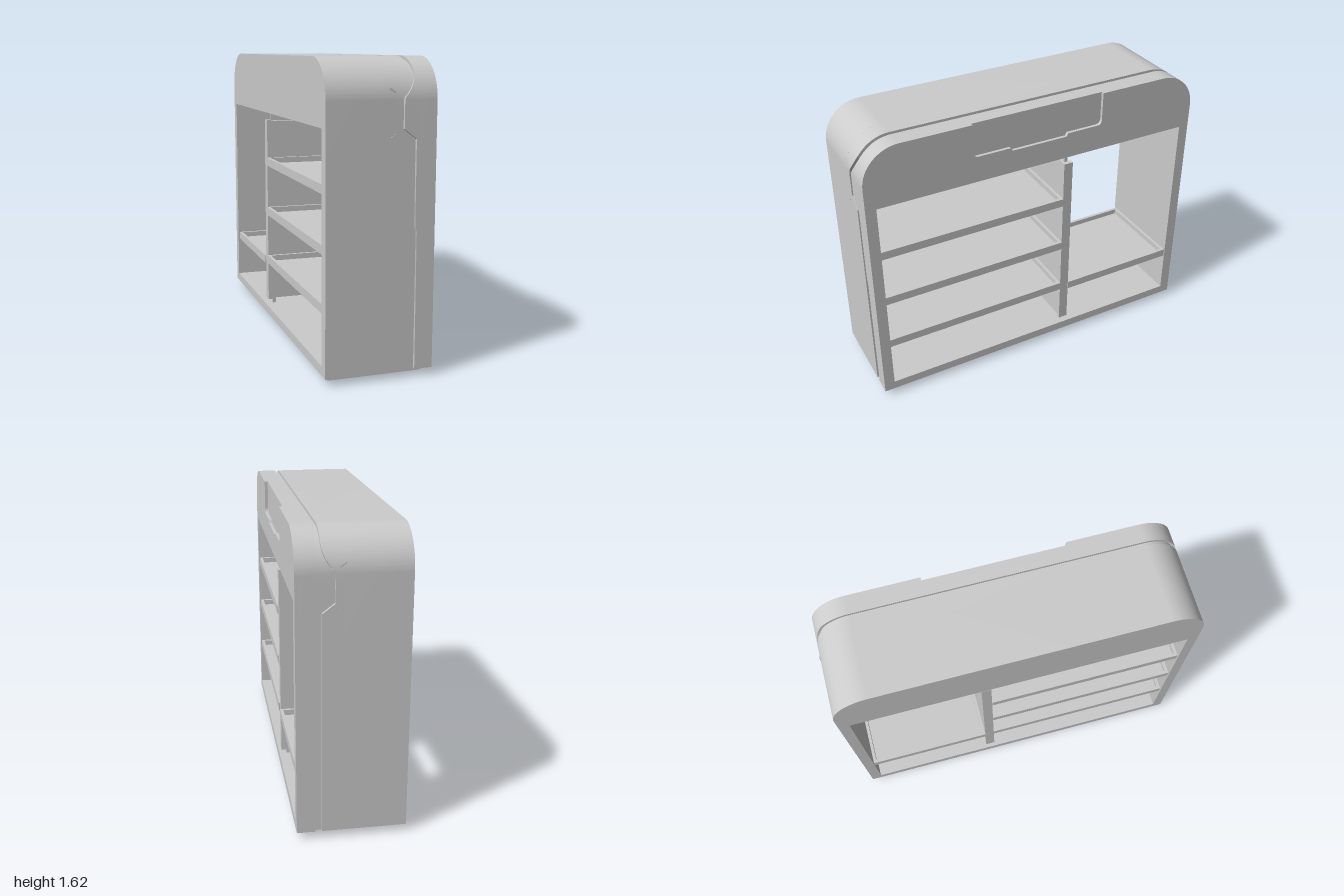
import * as THREE from 'three';
import { toCreasedNormals } from 'three/addons/utils/BufferGeometryUtils.js';

const mat = new THREE.MeshStandardMaterial({ color: 0xcccccc });
const GROOVE = 0.015, BOTTOM = 0.04, TOP = 1.62, R = 0.21;

function add(parent, name, geometry) {
  const m = new THREE.Mesh(geometry, mat);
  m.name = name;
  parent.add(m);
  return m;
}

// box given by its min and max on each axis
function box(parent, name, x0, x1, y0, y1, z0, z1) {
  const m = add(parent, name, new THREE.BoxGeometry(x1 - x0, y1 - y0, z1 - z0));
  m.position.set((x0 + x1) / 2, (y0 + y1) / 2, (z0 + z1) / 2);
  return m;
}

// slice of the round-shouldered frame between x0 and x1; shape runs in (-z, y)
function frameSlice(parent, name, x0, x1, inset = 0, notch = false) {
  const a = 1 - inset, r = R - inset, cy = TOP - R, cu = 1 - R;
  const s = new THREE.Shape();
  s.moveTo(-a, BOTTOM);
  s.lineTo(a, BOTTOM);
  s.lineTo(a, cy);
  s.absarc(cu, cy, r, 0, Math.PI / 2, false);
  if (notch) {
    s.lineTo(0.39, TOP);
    s.lineTo(0.39, 1.46);
    s.quadraticCurveTo(0.39, 1.43, 0.36, 1.43);
    s.lineTo(0.175, 1.43);
    s.lineTo(0.165, 1.412);
    s.lineTo(-0.165, 1.412);
    s.lineTo(-0.175, 1.43);
    s.lineTo(-0.365, 1.43);
    s.quadraticCurveTo(-0.395, 1.43, -0.395, 1.46);
    s.lineTo(-0.395, TOP);
  }
  s.absarc(-cu, cy, r, Math.PI / 2, Math.PI, false);
  s.closePath();
  const hole = new THREE.Path();
  hole.moveTo(-0.94, 0.09);
  hole.lineTo(-0.94, 1.28);
  hole.lineTo(0.94, 1.28);
  hole.lineTo(0.94, 0.09);
  hole.closePath();
  s.holes.push(hole);
  const g = new THREE.ExtrudeGeometry(s, { depth: x1 - x0, bevelEnabled: false, curveSegments: 24 });
  g.rotateY(Math.PI / 2);
  g.translate(x0, 0, 0);
  return add(parent, name, toCreasedNormals(g, 0.5));
}

// sideways jog of the groove at height y
function jog(y) {
  if (y <= 1.22) return 0;
  if (y < 1.27) return -0.065 * (y - 1.22) / 0.05;
  if (y <= 1.42) return -0.065;
  return y < 1.56 ? -0.065 * ((1.56 - y) / 0.14) ** 2 : 0;
}

// outer skin strip with the recessed groove, lofted along the outline
function groovedBand(x0, x1) {
  const half = [BOTTOM, 0.76, 0.78, 1.22, 1.27, 1.34].map(y => [1, y, 1, 0]);
  for (let i = 0; i <= 24; i++) {
    const t = (i / 24) * Math.PI / 2, c = Math.cos(t), s = Math.sin(t);
    half.push([1 - R + R * c, TOP - R + R * s, c, s]);
  }
  const path = [...half, ...half.slice().reverse().map(([z, y, nz, ny]) => [-z, y, -nz, ny])];
  const pos = [], idx = [];
  for (const [z, y, nz, ny] of path) {
    const l = 0.155 + jog(y), r = (y < 0.77 ? 0.189 : 0.18) + jog(y);
    const section = [[x0, 0], [l, 0], [l, GROOVE], [r, GROOVE], [r, 0], [x1, 0]];
    for (const [x, d] of section) pos.push(x, y - ny * d, z - nz * d);
  }
  for (let i = 0; i < path.length - 1; i++) {
    for (let j = 0; j < 5; j++) {
      const a = i * 6 + j, b = a + 6;
      idx.push(a, a + 1, b, a + 1, b + 1, b);
    }
  }
  const g = new THREE.BufferGeometry();
  g.setAttribute('position', new THREE.Float32BufferAttribute(pos, 3));
  g.setIndex(idx);
  return toCreasedNormals(g, 0.5);
}

// shallow tray shelf with a rim all round
function shelf(parent, name, top, z0, z1) {
  const g = new THREE.Group();
  g.name = name;
  parent.add(g);
  const x0 = -0.28, x1 = 0.28, y0 = top - 0.048, w = 0.018;
  box(g, 'shelfPanel', x0 + w, x1 - w, y0, y0 + 0.016, z0 + w, z1 - w);
  box(g, 'shelfBackRim', x0, x0 + w, y0, top, z0, z1);
  box(g, 'shelfFrontRim', x1 - w, x1, y0, top, z0, z1);
  box(g, 'shelfEndRim', x0 + w, x1 - w, y0, top, z0, z0 + w);
  box(g, 'shelfEndRim', x0 + w, x1 - w, y0, top, z1 - w, z1);
}

export function createModel() {
  const model = new THREE.Group();
  model.name = 'shelvingCabinet';

  // outer frame
  const frame = new THREE.Group();
  frame.name = 'frame';
  model.add(frame);
  frameSlice(frame, 'backFrame', -0.29, 0.05);
  frameSlice(frame, 'grooveCore', 0.05, 0.2, GROOVE + 0.001);
  frameSlice(frame, 'frontFrame', 0.2, 0.268);
  frameSlice(frame, 'facePlate', 0.268, 0.286, 0, true);
  add(frame, 'groovedBand', groovedBand(0.05, 0.2));

  for (const side of [-1, 1]) {
    // closed lower ends of the skin beside the groove
    for (const [a, b] of [[0.05, 0.155], [0.189, 0.2]]) {
      const cap = box(frame, 'bandEnd', a, b, BOTTOM, 0.05, 0.984, 0.999);
      cap.position.z *= side;
    }
    // small slanted marks beside the jog
    for (const [y, turn] of [[1.457, -0.65], [1.232, 0.65]]) {
      const mark = box(frame, 'slantedMark', -0.02, 0.02, -0.005, 0.005, -0.002, 0.002);
      mark.position.set(0.053, y, side * (y > 1.41 ? 0.995 : 1));
      mark.rotation.z = turn;
    }
  }

  // plinth
  box(model, 'plinth', -0.26, 0.255, 0.008, BOTTOM, -0.935, 0.935);
  box(model, 'plinthSole', -0.245, 0.24, 0, 0.008, -0.92, 0.92);

  // upright divider on pegs
  const divider = new THREE.Group();
  divider.name = 'divider';
  model.add(divider);
  box(divider, 'dividerPanel', -0.25, 0.25, 0.125, 1.225, -0.212, -0.172);
  for (const side of [-1, 1]) {
    const post = box(divider, 'dividerPost', 0.25, 0.275, 0.12, 1.23, -0.22, -0.165);
    post.position.x *= side;
    for (const [y0, y1] of [[0.09, 0.125], [1.225, 1.28]]) {
      const peg = box(divider, 'dividerPeg', 0.225, 0.245, y0, y1, -0.201, -0.184);
      peg.position.x *= side;
    }
  }

  // shelves
  for (const top of [1.005, 0.702, 0.4]) shelf(model, 'wideShelf', top, -0.165, 0.94);
  shelf(model, 'narrowShelf', 0.386, -0.94, -0.22);

  return model;
}
